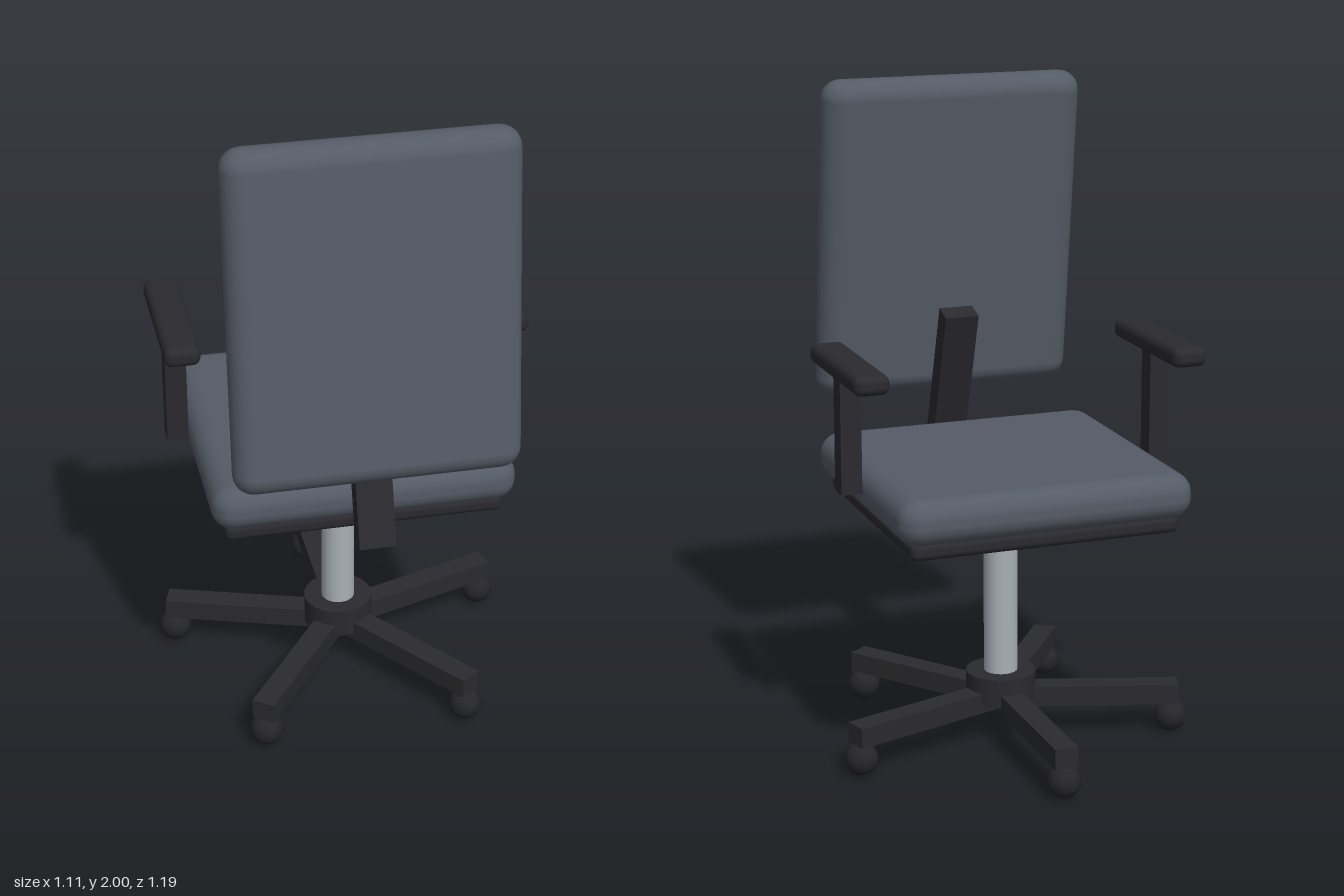
import * as THREE from 'three';
import { RoundedBoxGeometry } from 'three/addons/geometries/RoundedBoxGeometry.js';

const paint = (color) => new THREE.MeshStandardMaterial({ color });

export function createModel() {
  const chair = new THREE.Group();
  chair.name = 'officeChair';
  const fabric = paint(0x555b66);
  const frame = paint(0x2a2a2f);
  const metal = paint(0xaab0b8);
  const rubber = paint(0x25252a);
  const axisZ = -0.011; // column axis, shared by seat and base

  function add(name, geometry, material, x, y, z, tilt = 0, parent = chair) {
    const mesh = new THREE.Mesh(geometry, material);
    mesh.name = name;
    mesh.position.set(x, y, z);
    mesh.rotation.x = tilt;
    parent.add(mesh);
    return mesh;
  }
  const box = (w, h, d) => new THREE.BoxGeometry(w, h, d);
  const rounded = (w, h, d, r) => new RoundedBoxGeometry(w, h, d, 3, r);

  // Seat cushion on its pan
  add('seatCushion', rounded(0.91, 0.14, 0.875, 0.063), fabric, 0, 0.84, axisZ);
  add('seatPan', rounded(0.834, 0.052, 0.8, 0.02), frame, 0, 0.752, axisZ);

  // Leaning backrest and the bar that carries it
  add('backrest', rounded(0.834, 1.016, 0.125, 0.0624), fabric, 0, 1.495, 0.481, -0.12);
  add('backrestBar', box(0.108, 0.54, 0.066), frame, 0, 1.008, 0.442, -0.304);

  // Armrests
  for (const side of [1, -1]) {
    const name = side > 0 ? 'left' : 'right';
    add(name + 'ArmPost', box(0.064, 0.36, 0.064), frame, side * 0.492, 1.025, -0.048);
    add(name + 'ArmPad', rounded(0.107, 0.06, 0.472, 0.024), frame, side * 0.492, 1.225, -0.07);
  }

  // Column and hub
  add('column', new THREE.CylinderGeometry(0.052, 0.052, 0.56, 20), metal, 0, 0.46, axisZ);
  add('hub', new THREE.CylinderGeometry(0.108, 0.108, 0.09, 20), frame, 0, 0.167, axisZ);

  // Five-legged star base with ball casters
  for (let i = 0; i < 5; i++) {
    const leg = new THREE.Group();
    leg.name = 'baseLeg' + (i + 1);
    leg.position.z = axisZ;
    leg.rotation.y = (i * Math.PI * 2) / 5;
    add('legBar', box(0.072, 0.063, 0.552), frame, 0, 0.13, -0.276, 0, leg);
    add('caster', new THREE.SphereGeometry(0.051, 14, 10), rubber, 0, 0.051, -0.53, 0, leg);
    chair.add(leg);
  }
  return chair;
}
